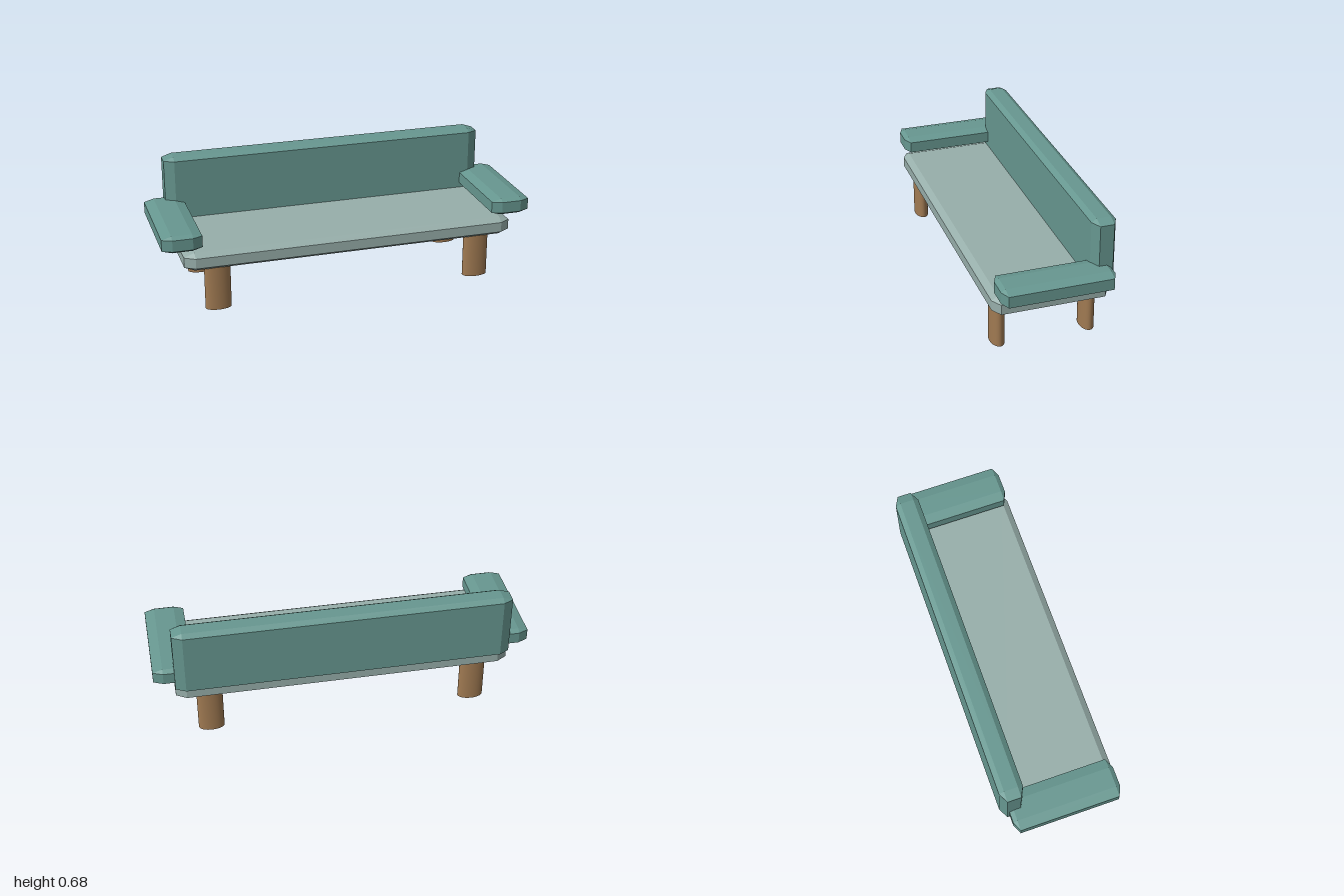
import * as THREE from 'three';
import { ConvexGeometry } from 'three/addons/geometries/ConvexGeometry.js';

const flat = (name, color) => {
  const m = new THREE.MeshStandardMaterial({ color });
  m.name = name;
  return m;
};

// Box with all edges chamfered; min/max corners and a chamfer width per axis
function chamferBox(name, min, max, chamfer, material) {
  const centre = min.map((v, i) => (v + max[i]) / 2);
  const half = min.map((v, i) => (max[i] - v) / 2);
  const points = [];
  for (const sx of [-1, 1]) for (const sy of [-1, 1]) for (const sz of [-1, 1]) {
    const s = [sx, sy, sz];
    // one corner point on each of the three faces that meet here
    for (let face = 0; face < 3; face++) {
      points.push(new THREE.Vector3(...half.map((h, i) => s[i] * (i === face ? h : h - chamfer[i]))));
    }
  }
  const mesh = new THREE.Mesh(new ConvexGeometry(points), material);
  mesh.position.set(...centre);
  mesh.name = name;
  return mesh;
}

export function createModel() {
  const teal = flat('teal fabric', 0x679790);
  const pale = flat('pale seat fabric', 0x97aeaa);
  const wood = flat('brown wood', 0xa07a52);

  const sofa = new THREE.Group();
  sofa.name = 'sofa';

  // Seat and backrest
  sofa.add(chamferBox('seat', [-0.89, 0.236, -0.288], [0.89, 0.334, 0.318], [0.055, 0.022, 0.033], pale));
  sofa.add(chamferBox('backrest', [-0.89, 0.307, -0.316], [0.89, 0.675, -0.189], [0.053, 0.018, 0.027], teal));

  // Oval legs, sunk into the seat
  const legGeometry = new THREE.CylinderGeometry(1, 1, 0.26, 32);
  legGeometry.scale(0.069, 1, 0.037);

  for (const [side, s] of [['left', 1], ['right', -1]]) {
    // Armrests
    const arm = chamferBox(side + 'Armrest', [0.79, 0.346, -0.278], [1, 0.437, 0.307], [0.052, 0.015, 0.023], teal);
    arm.position.x *= s;
    sofa.add(arm);

    for (const [end, z] of [['Front', 0.254], ['Back', -0.226]]) {
      const leg = new THREE.Mesh(legGeometry, wood);
      leg.name = side + end + 'Leg';
      leg.position.set(s * 0.714, 0.13, z);
      sofa.add(leg);
    }
  }
  return sofa;
}
